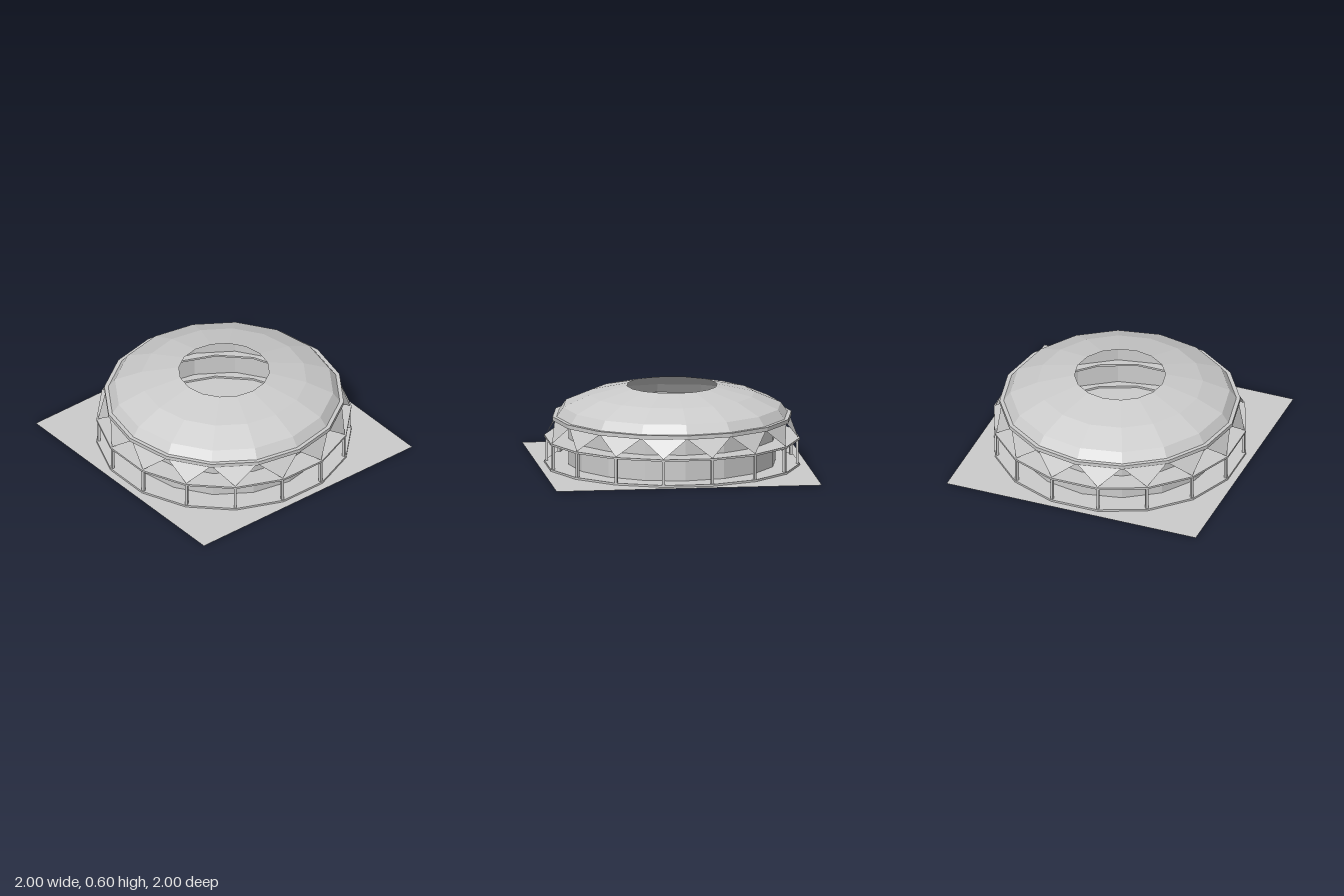
import * as THREE from 'three';

const SIDES = 16;
const STEP = (Math.PI * 2) / SIDES;

export function createModel() {
  const group = new THREE.Group();
  const material = new THREE.MeshStandardMaterial({
    color: 0xcccccc, flatShading: true, side: THREE.DoubleSide,
  });

  const add = (name, geometry, parent = group) => {
    const mesh = new THREE.Mesh(geometry, material);
    mesh.name = name;
    parent.add(mesh);
    return mesh;
  };

  // Sixteen-sided surface of revolution; start turns its corners
  const lathe = (points, start = 0) => new THREE.LatheGeometry(
    points.map(([r, y]) => new THREE.Vector2(r, y)), SIDES, start);

  // Flat ring with a rectangular section
  const slab = (inner, outer, y0, y1, start) => lathe(
    [[inner, y0], [outer, y0], [outer, y1], [inner, y1], [inner, y0]], start);

  const polar = (r, y, angle) => [r * Math.sin(angle), y, r * Math.cos(angle)];

  // Ground sheet
  add('ground', new THREE.PlaneGeometry(2, 2).rotateX(-Math.PI / 2));

  // Walkways at ground and upper level, corners between the wall's corners
  add('lowerWalkway', slab(0.73, 0.957, 0, 0.015, STEP / 2));
  add('upperWalkway', slab(0.73, 0.957, 0.195, 0.21, STEP / 2));

  // Inner wall
  add('wall', lathe([[0.78, 0], [0.78, 0.36]]));

  // Roof edge and faceted dome with a round opening
  add('roofEdge', slab(0.78, 0.9, 0.35, 0.38));
  add('roof', lathe([[0.87, 0.38], [0.82, 0.45], [0.62, 0.537], [0.34, 0.6]]));

  // Posts, with a triangular panel rising from each to the roof edge
  const posts = new THREE.Group();
  posts.name = 'posts';
  const panels = new THREE.Group();
  panels.name = 'panels';
  group.add(posts, panels);
  for (let i = 0; i < SIDES; i++) {
    const angle = (i + 0.5) * STEP;
    const post = add('post', new THREE.BoxGeometry(0.02, 0.18, 0.02), posts);
    post.position.set(...polar(0.938, 0.105, angle));
    post.rotation.y = angle;

    const panel = new THREE.BufferGeometry();
    panel.setAttribute('position', new THREE.Float32BufferAttribute([
      ...polar(0.946, 0.21, angle),
      ...polar(0.885, 0.352, angle + STEP / 2),
      ...polar(0.885, 0.352, angle - STEP / 2),
    ], 3));
    panel.computeVertexNormals();
    add('panel', panel, panels);
  }

  return group;
}
